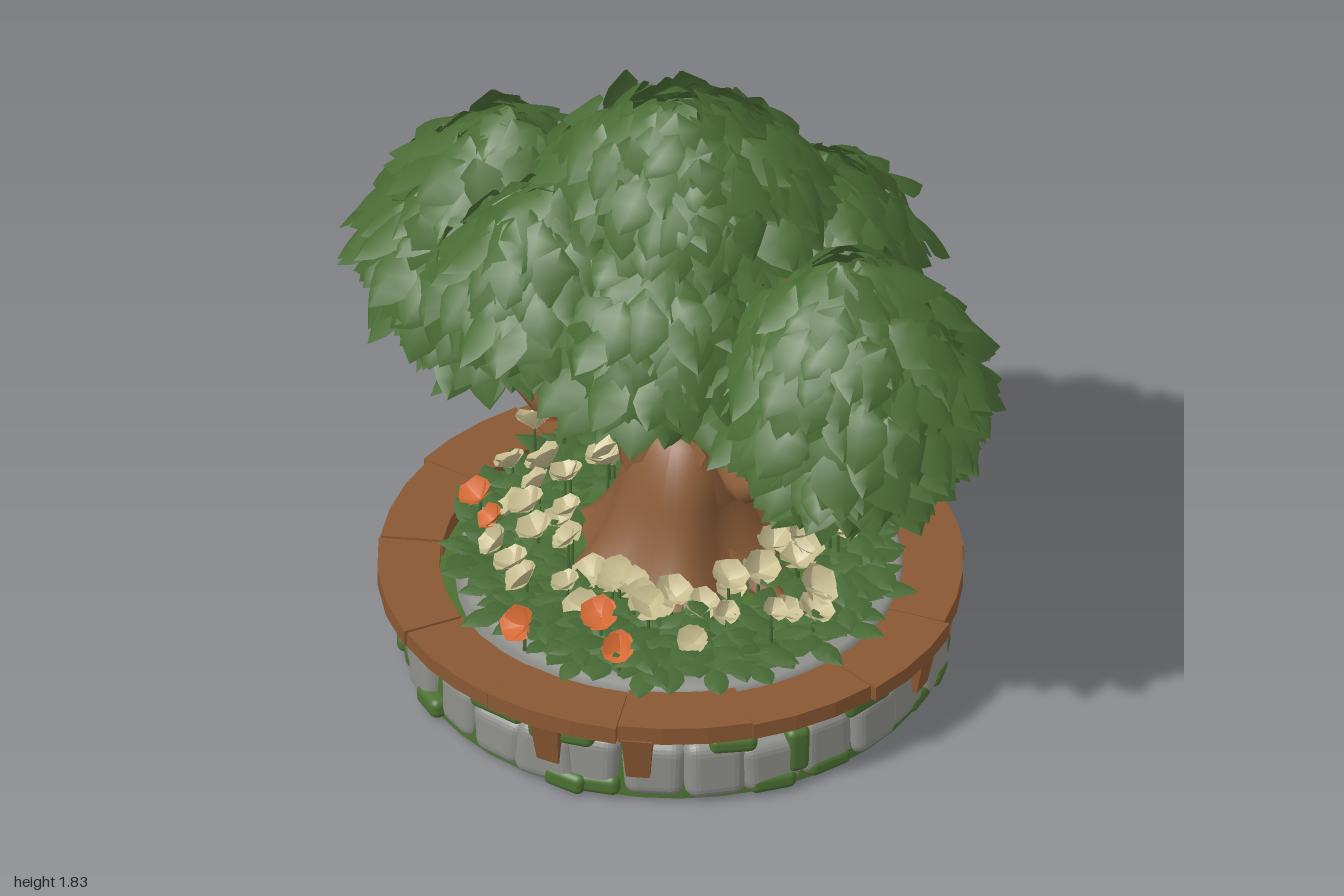
import * as THREE from 'three';
import { mergeGeometries } from 'three/addons/utils/BufferGeometryUtils.js';
import { RoundedBoxGeometry } from 'three/addons/geometries/RoundedBoxGeometry.js';

const V = (x, y, z) => new THREE.Vector3(x, y, z);

export function createModel() {
  const model = new THREE.Group();
  const mat = (name, color, side = THREE.FrontSide) =>
    new THREE.MeshStandardMaterial({ name, color, side });
  const M = {
    leaf: mat('leaf green', 0x4a6c35, THREE.DoubleSide),
    plant: mat('plant green', 0x476935, THREE.DoubleSide),
    moss: mat('moss green', 0x4c7032),
    bark: mat('bark brown', 0x8a5c39, THREE.DoubleSide),
    wood: mat('plank brown', 0x8a5833),
    stone: mat('stone grey', 0x8f8f8b, THREE.DoubleSide),
    cream: mat('cream petal', 0xc8bd90, THREE.DoubleSide),
    orange: mat('orange petal', 0xd96c35, THREE.DoubleSide),
  };
  const add = (name, geo, material) => {
    const mesh = new THREE.Mesh(Array.isArray(geo) ? mergeGeometries(geo) : geo, material);
    mesh.name = name;
    model.add(mesh);
    return mesh;
  };

  // Seeded random numbers
  let seed = 7;
  const rnd = (a = 0, b = 1) => {
    seed = (seed * 16807) % 2147483647;
    return a + (b - a) * (seed / 2147483647);
  };

  // Cupped, pointed leaf running along +z with its face up
  const makeLeaf = (length, width, droop, fold, peak) => {
    const g = new THREE.PlaneGeometry(1, 1, 2, 4);
    const p = g.attributes.position;
    for (let i = 0; i < p.count; i++) {
      const u = p.getX(i) * 2, t = 0.5 - p.getY(i);
      const w = (width / 2) * (0.08 * (1 - t) + Math.sin(Math.PI * Math.pow(t, peak)));
      p.setXYZ(i, u * w, -droop * t * t - fold * Math.abs(u) * Math.sin(Math.PI * t), t * length);
    }
    g.computeVertexNormals();
    return g;
  };
  const orient = (geo, pos, dir, up, s = 1) => {
    const z = dir.clone().normalize();
    const x = up.clone().cross(z).normalize();
    const y = z.clone().cross(x);
    const m = new THREE.Matrix4().makeBasis(x, y, z).scale(V(s, s, s)).setPosition(pos);
    return geo.clone().applyMatrix4(m);
  };

  // Planter core, rim and soil
  const core = add('planterCore', new THREE.CylinderGeometry(0.705, 0.722, 0.219, 40), M.moss);
  core.position.set(-0.015, 0.1145, 0);
  const rim = [[0.61, 0.2], [0.605, 0.265], [0.59, 0.282], [0.55, 0.287], [0.52, 0.275], [0.5, 0.2]]
    .map(([r, y]) => new THREE.Vector2(r, y));
  add('stoneRim', new THREE.LatheGeometry(rim, 40), M.stone);
  const soil = add('mossBed', new THREE.SphereGeometry(0.54, 32, 8, 0, Math.PI * 2, 0, Math.PI / 2), M.moss);
  soil.scale.y = 0.1;
  soil.position.y = 0.265;

  // Irregular stone wall with moss along the foot and the top
  const stones = [], mossPatches = [];
  const N = 28;
  for (let i = 0; i < N; i++) {
    const a = ((i + rnd(-0.12, 0.12)) / N) * Math.PI * 2;
    const h = rnd(0.155, 0.19), w = rnd(0.15, 0.185), r = 0.682 + rnd(-0.01, 0.01);
    const place = (g, y, rr, turn) => g.rotateY(a + turn + rnd(-0.06, 0.06))
      .translate(Math.sin(a + turn) * rr - 0.015, y, Math.cos(a + turn) * rr);
    const block = new RoundedBoxGeometry(w, h, 0.12, 3, 0.04);
    const p = block.attributes.position, k = rnd(-0.3, 0.3);
    for (let j = 0; j < p.count; j++) p.setX(j, p.getX(j) * (1 + (k * p.getY(j)) / h));
    block.computeVertexNormals();
    stones.push(place(block, 0.008 + h / 2, r, 0));
    const patch = (pw, ph, y, turn) => {
      const g = new RoundedBoxGeometry(pw, ph, 0.12, 3, 0.022).rotateZ(rnd(-0.12, 0.12));
      mossPatches.push(place(g, y, r + 0.005, turn));
    };
    if (rnd() < 0.5) patch(w * rnd(0.6, 1.1), rnd(0.05, 0.065), 0.035, rnd(-0.1, 0.1));
    if (rnd() < 0.4) patch(w * rnd(0.6, 1.1), 0.055, 0.185, rnd(-0.1, 0.1));
    if (rnd() < 0.12) patch(0.07, 0.14, 0.12, 0.1);
  }
  add('stoneWall', stones, M.stone);
  add('mossPatches', mossPatches, M.moss);

  // Wooden ring of curved planks
  const cuts = [-4, 22, 45, 71, 109, 138, 163, 190, 222, 248, 276, 303, 330, 356];
  const planks = [];
  for (let i = 0; i < cuts.length - 1; i++) {
    const a0 = THREE.MathUtils.degToRad(cuts[i] + 0.15), a1 = THREE.MathUtils.degToRad(cuts[i + 1] - 0.15);
    const outer = rnd(0.79, 0.808), inner = rnd(0.622, 0.635), pts = [];
    const at = (r, t) => {
      const a = a0 + (a1 - a0) * t;
      return new THREE.Vector2(Math.cos(a) * r - 0.025, Math.sin(a) * r * 0.985);
    };
    for (let j = 0; j <= 3; j++) pts.push(at(outer, j / 3));
    for (let j = 3; j >= 0; j--) pts.push(at(inner, j / 3));
    planks.push(new THREE.ExtrudeGeometry(new THREE.Shape(pts), { depth: rnd(0.045, 0.055), bevelEnabled: false })
      .rotateX(-Math.PI / 2).translate(0, rnd(0.221, 0.227), 0));
  }
  add('plankRing', planks, M.wood);

  // Brackets below the ring, in pairs on four sides
  const brackets = [];
  for (let q = 0; q < 4; q++) for (const s of [-1, 1]) {
    const a = (q * Math.PI) / 2 + s * 0.17;
    const b = new THREE.CylinderGeometry(0.06, 0.046, 0.14, 4).rotateY(Math.PI / 4).toNonIndexed();
    b.computeVertexNormals();
    brackets.push(b.rotateX(0.12).translate(0, 0.168, 0.73).rotateY(a).translate(-0.02, 0, 0));
  }
  add('brackets', brackets, M.wood);

  // Trunk with lobed root flare, closing inside the fork
  const trunk = new THREE.CylinderGeometry(1, 1, 1, 28, 20, true);
  const tp = trunk.attributes.position;
  for (let i = 0; i < tp.count; i++) {
    const t = tp.getY(i) + 0.5, x = tp.getX(i), z = tp.getZ(i), a = Math.atan2(z, x);
    const flare = Math.pow(1 - t, 2.6);
    const close = Math.sqrt(Math.max(0, 1 - Math.pow(Math.max(0, (t - 0.6) / 0.4), 2)));
    const r = close * (0.15 + flare * (0.16 + 0.05 * Math.cos(5 * a + 0.6)) + 0.01 * Math.cos(3 * a + 4 * t));
    tp.setXYZ(i, x * r + 0.01 - 0.03 * flare, 0.27 + t * 0.52, z * r + 0.02 + 0.03 * flare);
  }
  trunk.computeVertexNormals();
  add('trunk', trunk, M.bark);

  // Tapered limbs along smooth curves
  const limb = (pts, r0, r1) => {
    const curve = new THREE.CatmullRomCurve3(pts.map((p) => V(...p)));
    const n = 16, sides = 9, g = new THREE.TubeGeometry(curve, n, 1, sides);
    const p = g.attributes.position, v = V(0, 0, 0);
    for (let i = 0; i < p.count; i++) {
      const t = Math.floor(i / (sides + 1)) / n, c = curve.getPointAt(t);
      v.fromBufferAttribute(p, i).sub(c).multiplyScalar(r0 + (r1 - r0) * t).add(c);
      p.setXYZ(i, v.x, v.y, v.z);
    }
    g.computeVertexNormals();
    return g;
  };
  add('mainBranches', [
    limb([[-0.02, 0.48, 0.02], [-0.07, 0.68, 0.02], [-0.14, 0.86, 0], [-0.2, 1.02, -0.02], [-0.3, 1.3, -0.06]], 0.12, 0.04),
    limb([[0.04, 0.48, 0.02], [0.09, 0.68, 0.02], [0.17, 0.88, 0.01], [0.22, 1.08, 0], [0.14, 1.35, 0], [0.04, 1.58, 0]], 0.125, 0.025),
  ], M.bark);
  add('sideBranches', [
    limb([[-0.08, 0.8, 0], [-0.2, 0.82, -0.12], [-0.32, 0.82, -0.26], [-0.39, 0.92, -0.31], [-0.43, 1.2, -0.25]], 0.06, 0.025),
    limb([[-0.1, 0.8, 0.03], [-0.26, 0.81, 0.1], [-0.37, 0.85, 0.13], [-0.42, 0.95, 0.08], [-0.5, 1.25, 0]], 0.055, 0.02),
    limb([[0.1, 0.78, 0.04], [0.2, 0.8, 0.19], [0.29, 0.81, 0.32], [0.37, 0.92, 0.33], [0.46, 1.2, 0.3]], 0.06, 0.025),
    limb([[0.17, 0.86, 0], [0.29, 0.88, -0.14], [0.39, 0.95, -0.2], [0.45, 1.2, -0.12]], 0.05, 0.02),
    limb([[-0.18, 0.96, 0], [-0.36, 1.08, -0.08], [-0.75, 1.2, -0.16]], 0.05, 0.015),
    limb([[0.2, 0.98, 0], [0.42, 1.08, 0.14], [0.78, 1.18, 0.26]], 0.05, 0.015),
    limb([[0.2, 1.05, 0.02], [0.3, 1.25, 0.12], [0.36, 1.42, 0.16]], 0.045, 0.015),
    limb([[0.12, 0.78, 0.05], [0.13, 0.88, 0.2], [0.06, 1.1, 0.33], [0, 1.25, 0.35]], 0.05, 0.02),
    limb([[-0.1, 0.8, -0.03], [-0.12, 0.9, -0.2], [-0.04, 1.1, -0.33], [0, 1.25, -0.35]], 0.05, 0.02),
  ], M.bark);
  const roots = [];
  for (let i = 0; i < 6; i++) {
    const a = i * 1.047 + 0.3, c = Math.cos(a), s = Math.sin(a);
    roots.push(limb([[c * 0.09, 0.48, s * 0.09 + 0.02], [c * 0.19, 0.36, s * 0.19 + 0.02], [c * 0.34, 0.28, s * 0.34 + 0.02]], 0.07, 0.03));
  }
  add('roots', roots, M.bark);

  // Canopy: rounded cones of loose, drooping leaves, tapering to a point below
  const leaf = makeLeaf(0.17, 0.13, 0.045, 0.03, 0.8);
  const canopy = (name, [cx, cy, cz], [rx, ry, rz], count, low, cone = 0.15) => {
    const list = [];
    for (let i = 0; i < count; i++) {
      const sy = 1 - ((1 + low) * (i + 0.5)) / count;
      const a = i * 2.39996 + rnd(-0.3, 0.3);
      const c = Math.sqrt(1 - sy * sy) * (sy > 0 ? 1 - cone * sy : 1 + 0.5 * sy);
      const d = V(Math.cos(a) * c, sy, Math.sin(a) * c);
      const k = i % 3 === 0 ? rnd(0.6, 0.88) : rnd(0.9, 1.06);
      const pos = V(cx + d.x * rx * k, cy + d.y * ry * k, cz + d.z * rz * k);
      const out = V(Math.cos(a), 0, Math.sin(a));
      const dir = out.clone().multiplyScalar(rnd(0.65, 1.1))
        .add(V(rnd(-0.4, 0.4), -0.85 + 0.5 * Math.max(0, sy) + rnd(-0.15, 0.15), rnd(-0.4, 0.4))).normalize();
      const up = V(d.x / rx, d.y / ry, d.z / rz).normalize()
        .add(V(rnd(-0.4, 0.4), rnd(0.4, 0.9), rnd(-0.4, 0.4))).addScaledVector(out, 0.3);
      const s = rnd(0.85, 1.15);
      list.push(orient(leaf, pos.addScaledVector(dir, -0.07 * s), dir, up, s));
    }
    add(name, list, M.leaf);
  };
  canopy('topCanopy', [0.01, 1.54, -0.02], [0.38, 0.25, 0.31], 300, 0.35, 0);
  canopy('middleCanopy', [0, 1.2, 0], [0.46, 0.36, 0.55], 500, 0.45);
  canopy('rightCanopy', [-0.53, 1.13, -0.13], [0.4, 0.41, 0.39], 470, 0.65);
  canopy('leftCanopy', [0.55, 1.13, 0.22], [0.39, 0.41, 0.38], 470, 0.65);
  canopy('rightShoulderCanopy', [-0.34, 1.27, 0.17], [0.3, 0.28, 0.28], 200, 0.4);
  canopy('leftShoulderCanopy', [0.33, 1.27, -0.2], [0.3, 0.28, 0.3], 200, 0.4);

  // Ground plants in tufts
  const blade = makeLeaf(0.13, 0.08, 0.04, 0.014, 0.85);
  const tufts = [];
  for (let i = 0; i < 100; i++) {
    const a = i * 2.39996, r = 0.29 + 0.26 * Math.sqrt((i + 0.5) / 100);
    for (let j = 0; j < 8; j++) {
      const b = j * 0.8 + a, high = j % 2;
      const pos = V(Math.cos(a) * r, 0.295 + high * rnd(0.02, 0.08), Math.sin(a) * r);
      const dir = V(Math.cos(b), high ? rnd(0.1, 0.7) : rnd(0.1, 0.45), Math.sin(b));
      tufts.push(orient(blade, pos, dir, V(0, 1, 0), rnd(0.65, 1)));
    }
  }
  add('groundPlants', tufts, M.plant);

  // Large cup-shaped flowers on short stems
  const petal = makeLeaf(0.065, 0.08, -0.014, -0.008, 1.2);
  const stems = [];
  const flower = (x, y, z, list) => {
    const tilt = V(x * rnd(0.3, 2.6), 1, z * rnd(0.3, 2.6)).normalize();
    const side = tilt.clone().cross(V(0.3, 0, 1)).normalize();
    const size = rnd(0.75, 1.15);
    for (let j = 0; j < 5; j++) {
      const dir = side.clone().applyAxisAngle(tilt, j * 1.2566).addScaledVector(tilt, rnd(0.3, 0.8));
      list.push(orient(petal, V(x, y, z), dir, tilt, size));
    }
    stems.push(new THREE.CylinderGeometry(0.004, 0.006, y - 0.28, 5).translate(x, (y + 0.28) / 2, z));
  };
  const cream = [], orange = [];
  for (let i = 0; i < 68; i++) {
    const a = i * 2.39996 + 0.5, r = rnd(0.3, 0.54);
    flower(Math.cos(a) * r, rnd(0.36, 0.46), Math.sin(a) * r, cream);
  }
  const orangeSpots = [[-0.46, 0.45, 0.2], [-0.54, 0.42, 0.08], [-0.28, 0.36, 0.52], [-0.07, 0.42, 0.5],
    [0, 0.37, 0.56], [-0.42, 0.44, -0.3], [-0.2, 0.38, -0.53], [-0.33, 0.4, -0.46], [0.15, 0.4, -0.5]];
  for (const p of orangeSpots) flower(...p, orange);
  add('creamFlowers', cream, M.cream);
  add('orangeFlowers', orange, M.orange);
  add('flowerStems', stems, M.plant);

  return model;
}
